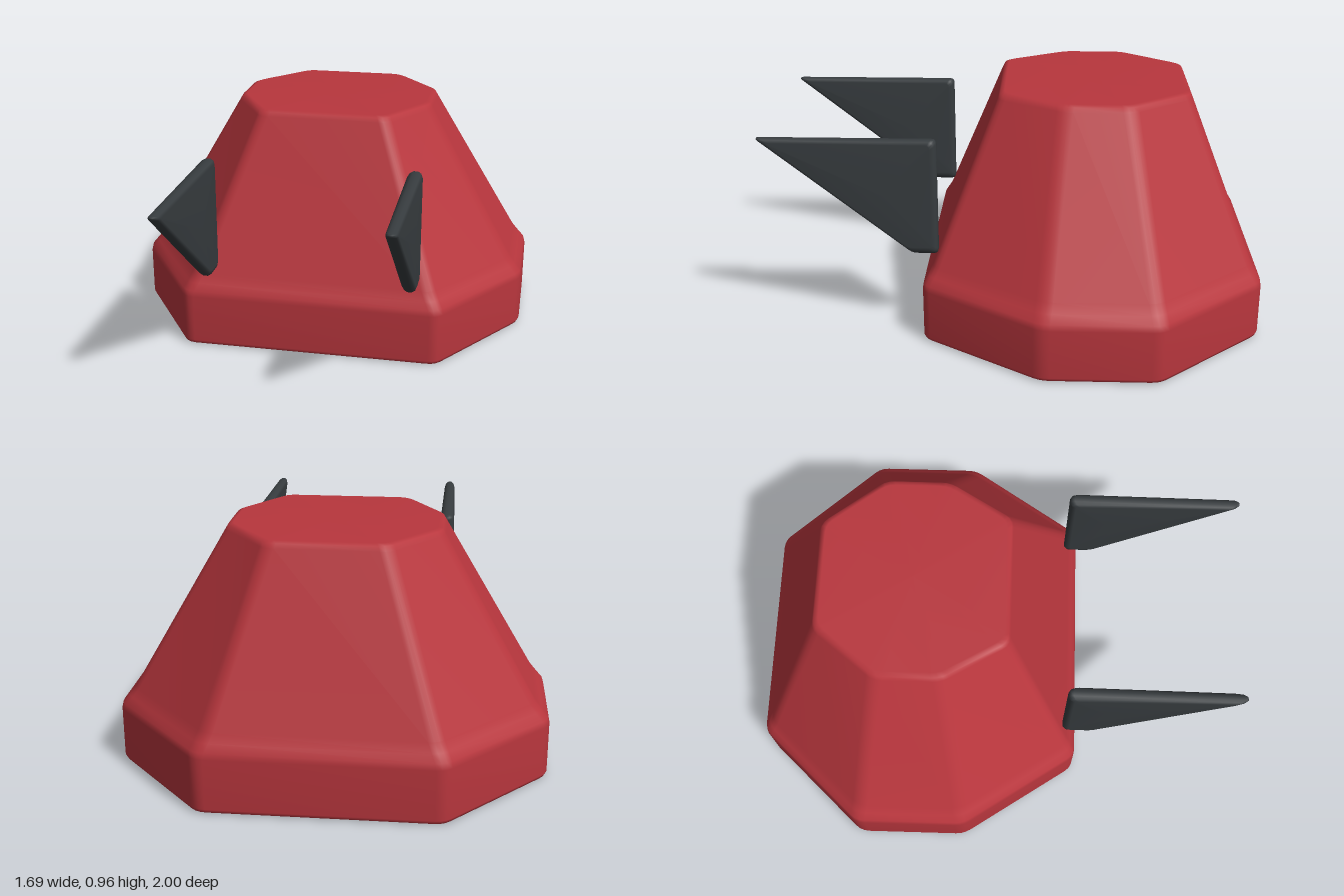
import * as THREE from 'three';

// Replace each corner of a closed 2D outline with a small curve.
function roundCorners(points, radius, steps = 3) {
  const pts = points.map(([a, b]) => new THREE.Vector2(a, b));
  const n = pts.length;
  const out = [];
  pts.forEach((p, i) => {
    const toward = (q) => q.clone().sub(p).setLength(radius).add(p);
    const curve = new THREE.QuadraticBezierCurve(
      toward(pts[(i + n - 1) % n]), p, toward(pts[(i + 1) % n]));
    out.push(...curve.getPoints(steps));
  });
  return out;
}

// Skin a stack of equal-length convex rings and cap both ends.
function loft(rings) {
  const n = rings[0].length;
  const positions = rings.flat().flatMap((p) => p.toArray());
  const index = [];
  for (let i = 0; i < rings.length - 1; i++) {
    for (let j = 0; j < n; j++) {
      const a = i * n + j, b = i * n + (j + 1) % n;
      index.push(a, b, a + n, b, b + n, a + n);
    }
  }
  const last = rings.length - 1;
  [0, last].forEach((r) => {
    const centre = positions.length / 3;
    const mid = new THREE.Vector3();
    rings[r].forEach((p) => mid.addScaledVector(p, 1 / n));
    positions.push(mid.x, mid.y, mid.z);
    for (let j = 0; j < n; j++) {
      const a = r * n + j, b = r * n + (j + 1) % n;
      if (r === 0) index.push(centre, b, a);
      else index.push(centre, a, b);
    }
  });
  const geometry = new THREE.BufferGeometry();
  geometry.setAttribute('position', new THREE.Float32BufferAttribute(positions, 3));
  geometry.setIndex(index);
  geometry.computeVertexNormals();
  return geometry;
}

// Mirror the right-hand half of an octagon across x = 0.
function octagon(half) {
  return roundCorners([...half, ...half.map(([x, z]) => [-x, z]).reverse()], 0.035);
}

// Body: vertical skirt, then a tapering octagonal hull with softened rims.
function bodyGeometry() {
  const base = octagon([[0.53, 0.355], [0.845, -0.12], [0.845, -0.575], [0.455, -1]]);
  const top = octagon([[0.265, 0.06], [0.42, -0.2], [0.42, -0.46], [0.225, -0.71]]);
  // height, blend from base to top, scale about the ring's middle
  const levels = [
    [0, 0, 0.975], [0.006, 0, 0.992], [0.02, 0, 1], [0.22, 0, 1], [0.245, 0.015, 1],
    [0.275, 0.075, 1], [0.31, 0.14, 1], [0.935, 0.99, 1], [0.953, 1, 0.985], [0.96, 1, 0.94],
  ];
  const middle = new THREE.Vector2(0, -0.325);
  return loft(levels.map(([y, t, s]) => base.map((p, i) => {
    const q = p.clone().lerp(top[i], t).sub(middle).multiplyScalar(s).add(middle);
    return new THREE.Vector3(q.x, y, q.y);
  })));
}

// Fin: pointed upright plate with rounded edges, thinner toward its tip.
function finGeometry() {
  const outline = roundCorners([[0.34, 0.295], [0.82, 0.295], [0.82, 1.007], [0.34, 0.4]], 0.02);
  const middle = new THREE.Vector2(0.66, 0.55);
  const sections = [[-1, 0.9], [-0.75, 0.965], [-0.3, 1], [0.3, 1], [0.75, 0.965], [1, 0.9]];
  return loft(sections.map(([x, s]) => outline.map((p) => {
    const q = p.clone().sub(middle).multiplyScalar(s).add(middle);
    const halfThickness = 0.03 - 0.01 * (q.y - 0.3);
    return new THREE.Vector3(x * halfThickness, q.x, q.y);
  })));
}

export function createModel() {
  const red = new THREE.MeshStandardMaterial({ color: 0xb8363d });
  red.name = 'red';
  const charcoal = new THREE.MeshStandardMaterial({ color: 0x373c3f });
  charcoal.name = 'charcoal';

  const model = new THREE.Group();
  model.name = 'model';

  const body = new THREE.Mesh(bodyGeometry(), red);
  body.name = 'body';
  model.add(body);

  // Pair of fins in front of the body
  const fin = finGeometry();
  for (const side of [1, -1]) {
    const mesh = new THREE.Mesh(fin, charcoal);
    mesh.name = side > 0 ? 'leftFin' : 'rightFin';
    mesh.position.x = side * 0.42;
    model.add(mesh);
  }
  return model;
}
